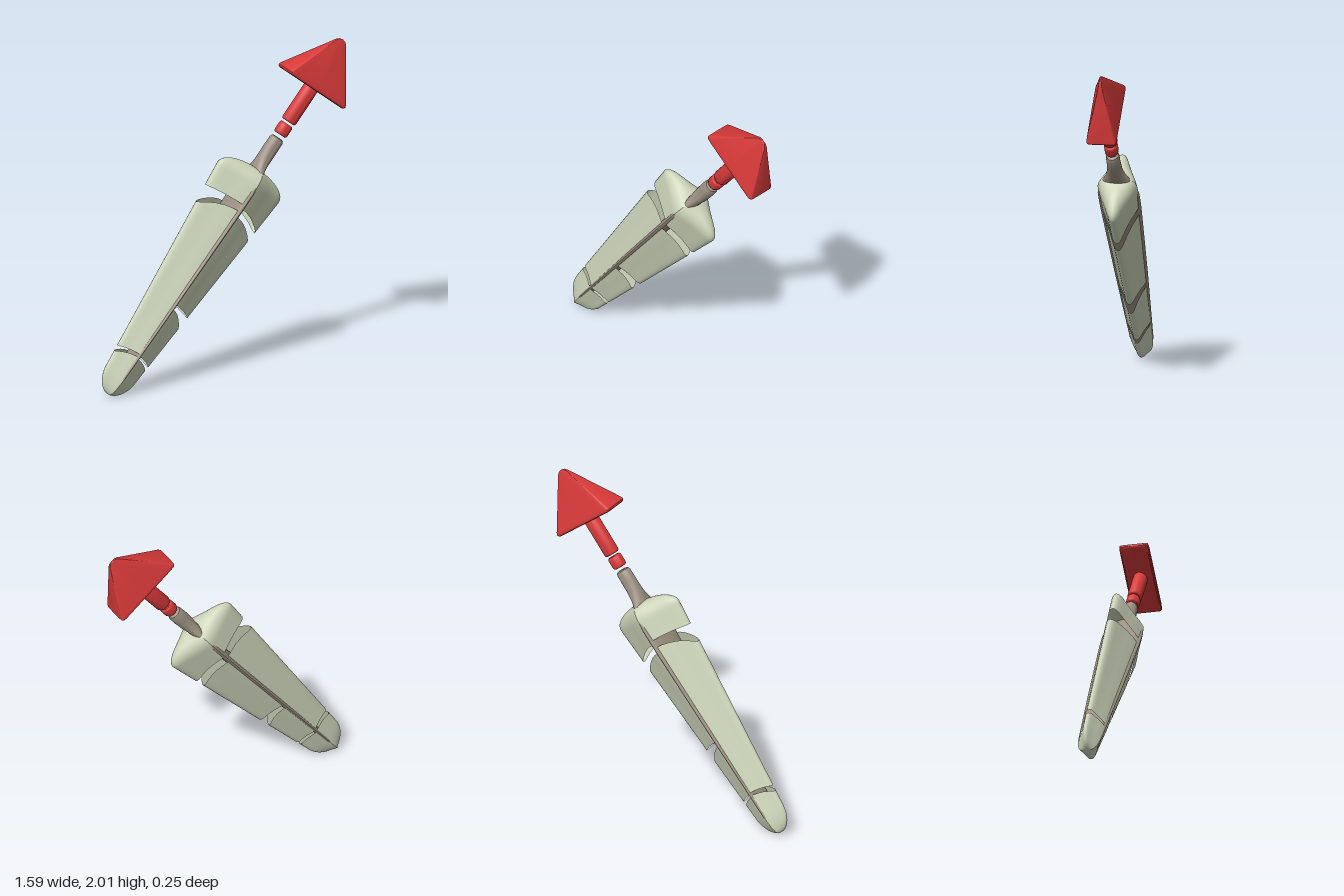
import * as THREE from 'three';
import { toCreasedNormals } from 'three/addons/utils/BufferGeometryUtils.js';

// Surface from a grid of points; normals point along (column x row).
function gridSurface(rows, cols, pointAt) {
  const pos = [], index = [];
  for (let i = 0; i <= rows; i++) {
    for (let j = 0; j <= cols; j++) pos.push(...pointAt(i, j));
  }
  for (let i = 0; i < rows; i++) {
    for (let j = 0; j < cols; j++) {
      const a = i * (cols + 1) + j, c = a + cols + 1;
      index.push(a, a + 1, c, a + 1, c + 1, c);
    }
  }
  const g = new THREE.BufferGeometry();
  g.setAttribute('position', new THREE.Float32BufferAttribute(pos, 3));
  g.setIndex(index);
  g.computeVertexNormals();
  return g;
}

// Loft along y through sections [y, halfX, halfZ]; power 1 = ellipse, small = box.
function loft(sections, power = 1, crease = 0.7) {
  const n = 32;
  const bend = (v) => (Math.abs(v) < 1e-6 ? 0 : Math.sign(v) * Math.abs(v) ** power);
  const g = gridSurface(sections.length - 1, n, (i, j) => {
    const [y, a, b] = sections[i];
    const t = ((j % n) / n) * Math.PI * 2;
    return [a * bend(Math.sin(t)), y, b * bend(Math.cos(t))];
  });
  return toCreasedNormals(g, crease);
}

// Rod with softly rounded rims.
const rod = (y0, y1, a, b) => loft([
  [y0, 0, 0], [y0, a * 0.8, b * 0.8], [y0 + 0.005, a * 0.94, b * 0.94], [y0 + 0.014, a, b],
  [y1 - 0.014, a, b], [y1 - 0.005, a * 0.94, b * 0.94], [y1, a * 0.8, b * 0.8], [y1, 0, 0],
]);

// Vane cross-section: [fraction of width, fraction of thickness]
const PROFILE = [[0, 1], [0.2, 0.85], [0.4, 0.66], [0.6, 0.48], [0.8, 0.32],
  [0.91, 0.22], [0.97, 0.12], [1, 0]];

// Both ends of the feather close in a round.
function taper(u) {
  const k = u < 0.1 ? (0.1 - u) / 0.135 : u > 1.46 ? (u - 1.46) / 0.1 : 0;
  return Math.sqrt(Math.max(0, 1 - k * k));
}

// One half-feather piece; lo and hi are the end edges as [at shaft, at outer rim].
function vane(side, lo, hi) {
  const last = PROFILE.length - 1, rows = 24;
  const edge = (e, t) => e[0] + (e[1] - e[0]) * t * t;
  return gridSurface(rows, last * 2, (i, j) => {
    const back = j > last;
    const [t, f] = PROFILE[back ? last * 2 - j : j];
    const s = (1 - Math.cos((Math.PI * i) / rows)) / 2;
    const u = THREE.MathUtils.lerp(edge(lo, t), edge(hi, t), s);
    const width = (0.107 + 0.1 * u) * taper(u);
    const thick = (0.064 + 0.038 * u) * Math.sqrt(taper(u));
    return [side * width * t, u, side * thick * f * (back ? -1 : 1)];
  });
}

export function createModel() {
  const model = new THREE.Group();
  model.name = 'featherArrow';
  const arrow = new THREE.Group();
  arrow.name = 'arrow';
  arrow.position.set(-0.75, 0.04, 0);
  arrow.rotation.z = -0.66;
  model.add(arrow);

  const vaneMat = new THREE.MeshStandardMaterial({ color: 0xcdd5ba, side: THREE.DoubleSide });
  const shaftMat = new THREE.MeshStandardMaterial({ color: 0x9c9082 });
  const redMat = new THREE.MeshStandardMaterial({ color: 0xd93a3a });

  const add = (name, geometry, material) => {
    const mesh = new THREE.Mesh(geometry, material);
    mesh.name = name;
    arrow.add(mesh);
  };

  // Feather: four pieces on the right half, three on the left
  const pieces = [
    ['tipVaneRight', 1, [-0.035, -0.035], [0.235, 0.198]],
    ['lowerVaneRight', 1, [0.253, 0.226], [0.594, 0.507]],
    ['middleVaneRight', 1, [0.625, 0.597], [1.255, 1.162]],
    ['upperVaneRight', 1, [1.31, 1.232], [1.56, 1.56]],
    ['tipVaneLeft', -1, [-0.035, -0.035], [0.245, 0.2]],
    ['mainVaneLeft', -1, [0.264, 0.236], [1.29, 1.198]],
    ['upperVaneLeft', -1, [1.335, 1.312], [1.56, 1.56]],
  ];
  for (const [name, side, lo, hi] of pieces) add(name, vane(side, lo, hi), vaneMat);

  // Blade-like shaft that turns into a round stem
  add('shaft', loft([
    [-0.015, 0, 0], [-0.012, 0.009, 0.025], [0.01, 0.015, 0.05], [0.1, 0.019, 0.071],
    [0.7, 0.024, 0.1], [1.3, 0.031, 0.124], [1.42, 0.032, 0.125], [1.49, 0.033, 0.115],
    [1.54, 0.035, 0.087], [1.59, 0.039, 0.06], [1.64, 0.045, 0.045], [1.7, 0.047, 0.041],
    [1.76, 0.046, 0.04], [1.775, 0.04, 0.035], [1.78, 0.03, 0.026], [1.78, 0, 0],
  ]), shaftMat);

  // Red collar, neck and pyramid head
  add('collar', rod(1.8, 1.876, 0.045, 0.041), redMat);
  add('neck', rod(1.89, 2.16, 0.049, 0.043), redMat);
  add('arrowhead', loft([
    [2.13, 0, 0], [2.13, 0.215, 0.08], [2.135, 0.224, 0.087], [2.145, 0.229, 0.09],
    [2.16, 0.222, 0.088], [2.43, 0.052, 0.015], [2.452, 0.038, 0.01],
    [2.467, 0.022, 0.006], [2.473, 0, 0],
  ], 0.12, 0.5), redMat);

  return model;
}
